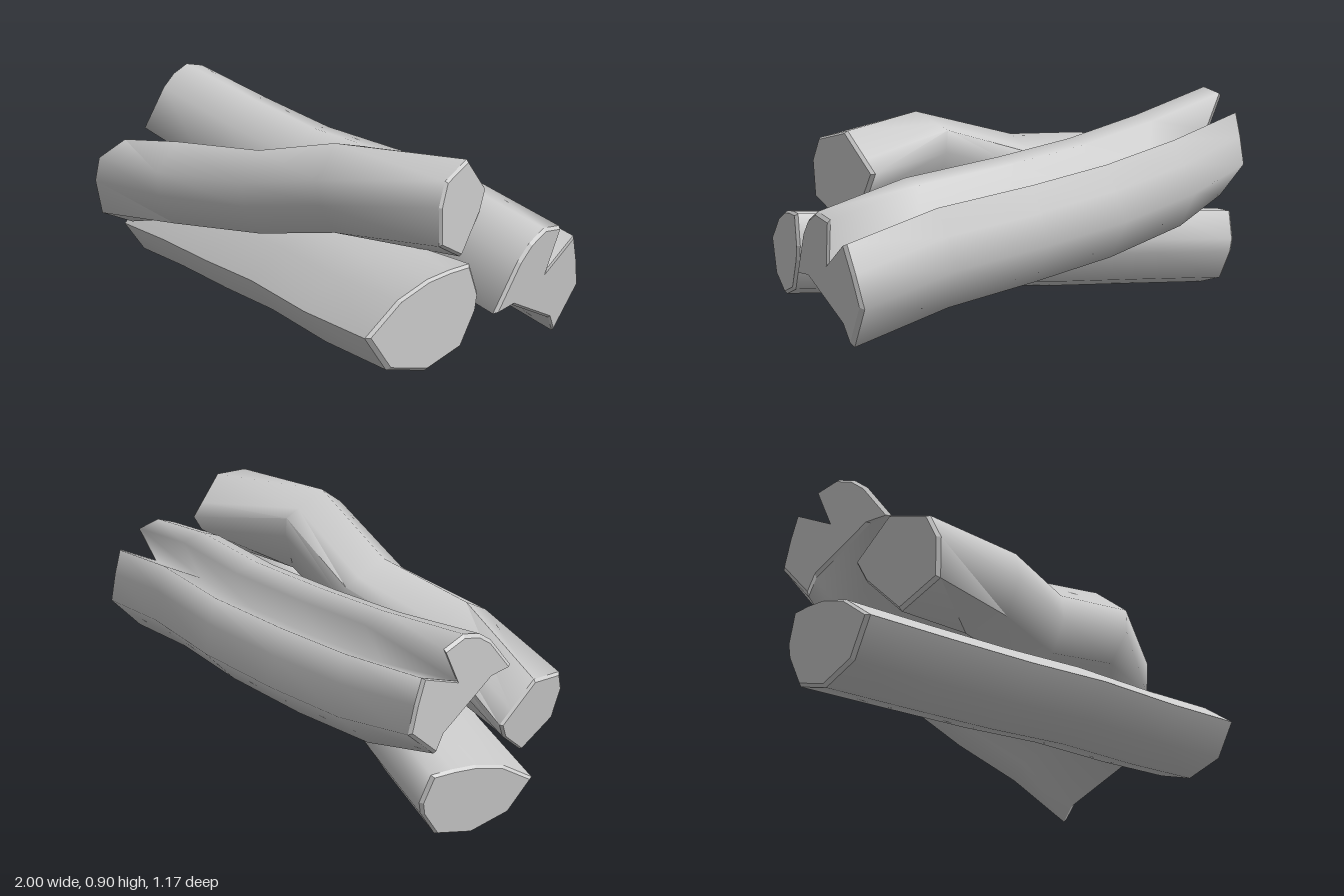
import * as THREE from 'three';
import { toCreasedNormals, mergeGeometries } from 'three/addons/utils/BufferGeometryUtils.js';

// Profiles are [z, y] corners of the +x end.
// Paths are [x, dz, dy, twist, size] changes of that profile along the log.
// Leans are the [z, y] tilts of the cut faces at the -x and +x ends.
const LOGS = [
  {
    name: 'bottomLog',
    crease: 1.35,
    profile: [[0.05, 0.49], [0.01, 0.37], [0.02, 0.31], [0.09, 0.18], [0.25, 0.125], [0.42, 0.17],
      [0.51, 0.31], [0.37, 0.42], [0.24, 0.47], [0.14, 0.485]],
    path: [[-0.98, -0.13, -0.122], [-0.6, -0.115, -0.095], [-0.2, -0.085, -0.07],
      [0.18, -0.055, -0.036], [0.57, -0.02, -0.028], [0.96, 0, 0]],
    leans: [[0.06, 0.05], [0.07, 0.03]],
  },
  {
    name: 'upperLog',
    crease: 1.35,
    profile: [[0.08, 0.78], [-0.08, 0.82], [-0.18, 0.72], [-0.23, 0.67], [-0.19, 0.59],
      [-0.05, 0.45], [0.11, 0.54], [0.12, 0.69]],
    path: [[-0.905, 0.465, -0.217, 0.05], [-0.45, 0.41, -0.125, 0.4], [-0.04, 0.27, -0.088, 0.45, 0.97],
      [0.39, 0.225, 0.032, 0.5], [0.81, 0, 0]],
    leans: [[-0.25, 0.14], [-0.37, 0]],
  },
  {
    name: 'splitLog',
    crease: Math.PI,
    profile: [[-0.05, 0.28], [-0.16, 0.46], [-0.22, 0.52], [-0.3, 0.56], [-0.4, 0.545], [-0.335, 0.36],
      [-0.51, 0.475], [-0.55, 0.37], [-0.585, 0.25], [-0.46, 0.08], [-0.42, 0.15], [-0.15, 0.29]],
    path: [[-0.93, 0.38, 0.353, -0.08, 0.96], [-0.57, 0.285, 0.255, -0.03, 0.97], [-0.2, 0.21, 0.178],
      [0.18, 0.11, 0.137], [0.58, 0.058, 0.09], [0.965, 0, 0]],
    leans: [[-0.2, 0], [-0.14, -0.11]],
  },
];

function fromTriangles(points) {
  const geometry = new THREE.BufferGeometry().setFromPoints(points);
  geometry.computeVertexNormals();
  return geometry;
}

// Triangles between two rings of corners
function bridge(out, a, b) {
  a.forEach((p, j) => {
    const k = (j + 1) % a.length;
    out.push(p, a[k], b[k], p, b[k], b[j]);
  });
}

function logGeometry({ profile, path, leans, crease }) {
  // Counter-clockwise as seen from +x
  let flat = profile.map(([z, y]) => new THREE.Vector2(-z, y));
  if (THREE.ShapeUtils.isClockWise(flat)) flat = flat.reverse();
  const centre = flat.reduce((s, p) => s.add(p), new THREE.Vector2()).divideScalar(flat.length);
  const last = path.length - 1, bevel = 0.012;

  // Inner rings stand square to the path, the end rings follow the cut
  const leanAt = (i) => {
    if (i === 0) return leans[0];
    if (i === last) return leans[1];
    const a = path[i - 1], b = path[i + 1];
    return [(b[1] - a[1]) / (b[0] - a[0]), (b[2] - a[2]) / (b[0] - a[0])];
  };
  const ring = (i, scale = 1, shift = 0) => {
    const [x, dz, dy, twist = 0, size = 1] = path[i];
    const [leanZ, leanY] = leanAt(i);
    return flat.map((p) => {
      const q = p.clone().sub(centre).multiplyScalar(scale * size).rotateAround(new THREE.Vector2(), twist);
      return new THREE.Vector3(x + shift + leanZ * q.x - leanY * q.y, centre.y + q.y + dy, -centre.x - q.x + dz);
    });
  };

  // Bark
  const rings = path.map((_, i) => ring(i, 1, i === 0 ? bevel : i === last ? -bevel : 0));
  const bark = [];
  for (let i = 0; i < last; i++) bridge(bark, rings[i], rings[i + 1]);

  // Bevelled cut ends
  const ends = [], left = ring(0, 0.94), right = ring(last, 0.94);
  bridge(ends, left, rings[0]);
  bridge(ends, rings[last], right);
  for (const [a, b, c] of THREE.ShapeUtils.triangulateShape(flat, [])) {
    ends.push(right[a], right[b], right[c], left[a], left[c], left[b]);
  }
  return mergeGeometries([toCreasedNormals(fromTriangles(bark), crease), fromTriangles(ends)]);
}

export function createModel() {
  const group = new THREE.Group();
  group.name = 'logPile';
  const wood = new THREE.MeshStandardMaterial({ color: 0xcccccc });
  wood.name = 'pale grey';
  for (const log of LOGS) {
    const mesh = new THREE.Mesh(logGeometry(log), wood);
    mesh.name = log.name;
    group.add(mesh);
  }
  return group;
}
